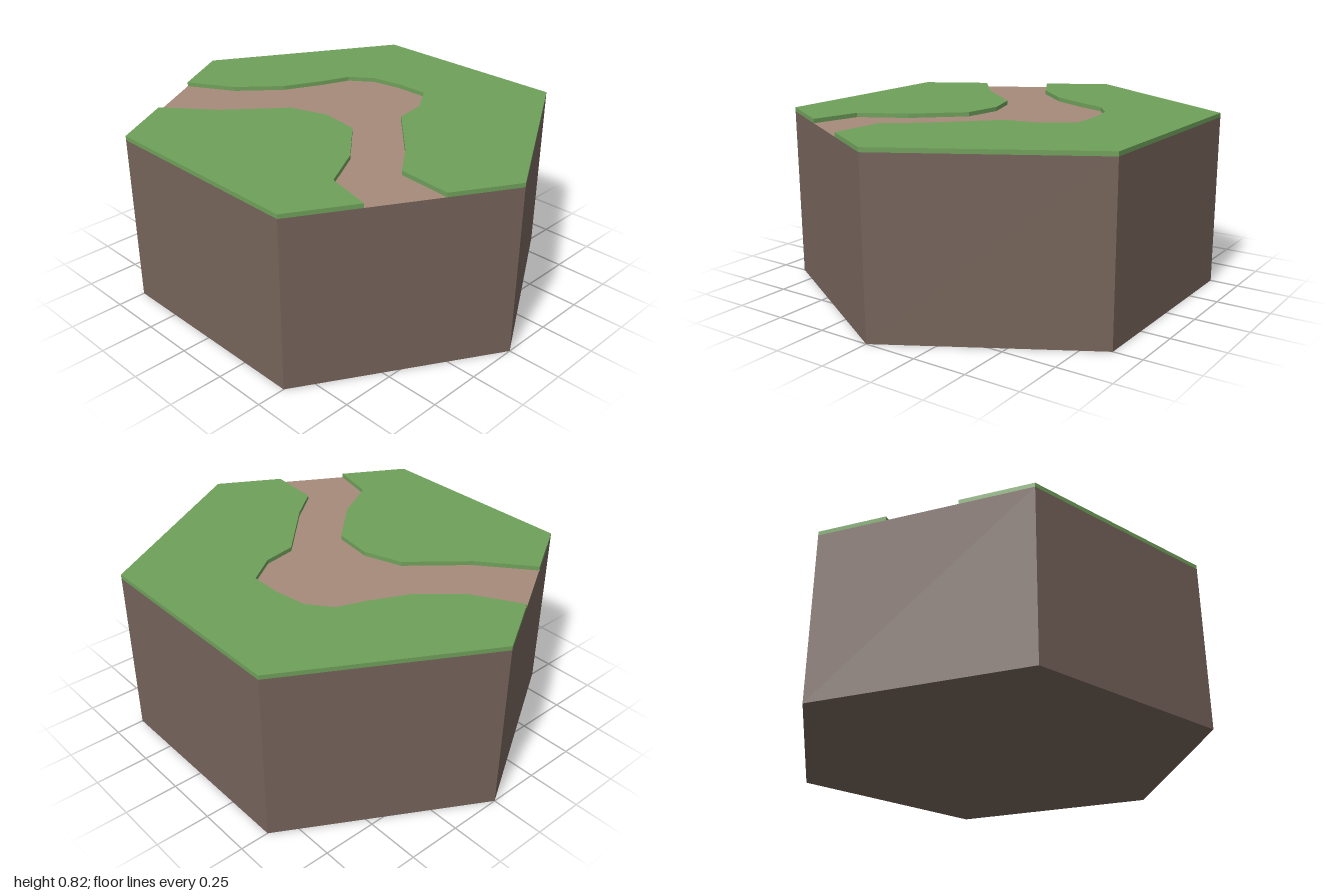
import * as THREE from 'three';

const SOIL_TOP = 0.8;
const GRASS_TOP = 0.82;
const H = Math.sqrt(3) / 2; // half depth of the hexagon

// Outline from [x, z] pairs, laid flat with y up
function outline(points) {
  return new THREE.Shape(points.map(([x, z]) => new THREE.Vector2(x, -z)));
}

function addPart(group, name, geometry, y, color) {
  geometry.rotateX(-Math.PI / 2);
  geometry.translate(0, y, 0);
  const mesh = new THREE.Mesh(geometry, new THREE.MeshStandardMaterial({ color, flatShading: true }));
  mesh.name = name;
  group.add(mesh);
}

function slab(points, depth) {
  return new THREE.ExtrudeGeometry(outline(points), { depth, bevelEnabled: false });
}

export function createModel() {
  const group = new THREE.Group();
  group.name = 'hexTile';

  // Both banks of the path, running from -x to +x and ending on the slanted sides
  const backBank = [
    [-0.8355, 0.285], [-0.62, 0.16], [-0.46, -0.02], [-0.375, -0.2], [-0.325, -0.335],
    [-0.22, -0.415], [-0.07, -0.44], [0.085, -0.44], [0.18, -0.3], [0.205, -0.145],
    [0.46, 0.11], [0.58, 0.265], [0.8355, 0.285],
  ];
  const frontBank = [
    [-0.668, 0.575], [-0.44, 0.39], [-0.23, 0.14], [-0.05, 0.08], [0.14, 0.105],
    [0.33, 0.31], [0.445, 0.52], [0.668, 0.575],
  ];
  const path = [...backBank, ...[...frontBank].reverse()];

  // Soil block: open-topped prism sides and its underside
  const sides = new THREE.CylinderGeometry(1, 1, SOIL_TOP, 6, 1, true, Math.PI / 2);
  sides.rotateX(Math.PI / 2);
  addPart(group, 'soilSides', sides, SOIL_TOP / 2, 0x75635a);
  const underside = new THREE.CircleGeometry(1, 6);
  underside.rotateX(Math.PI);
  addPart(group, 'soilUnderside', underside, 0, 0x75635a);

  // Sunken dirt path
  addPart(group, 'path', new THREE.ShapeGeometry(outline(path)), SOIL_TOP, 0xa58a7a);

  // Grass on either side of the path
  const thickness = GRASS_TOP - SOIL_TOP;
  const backGrass = [...backBank, [1, 0], [0.5, -H], [-0.5, -H], [-1, 0]];
  const frontGrass = [...frontBank, [0.5, H], [-0.5, H]];
  addPart(group, 'backGrass', slab(backGrass, thickness), SOIL_TOP, 0x6fa05a);
  addPart(group, 'frontGrass', slab(frontGrass, thickness), SOIL_TOP, 0x6fa05a);

  return group;
}
